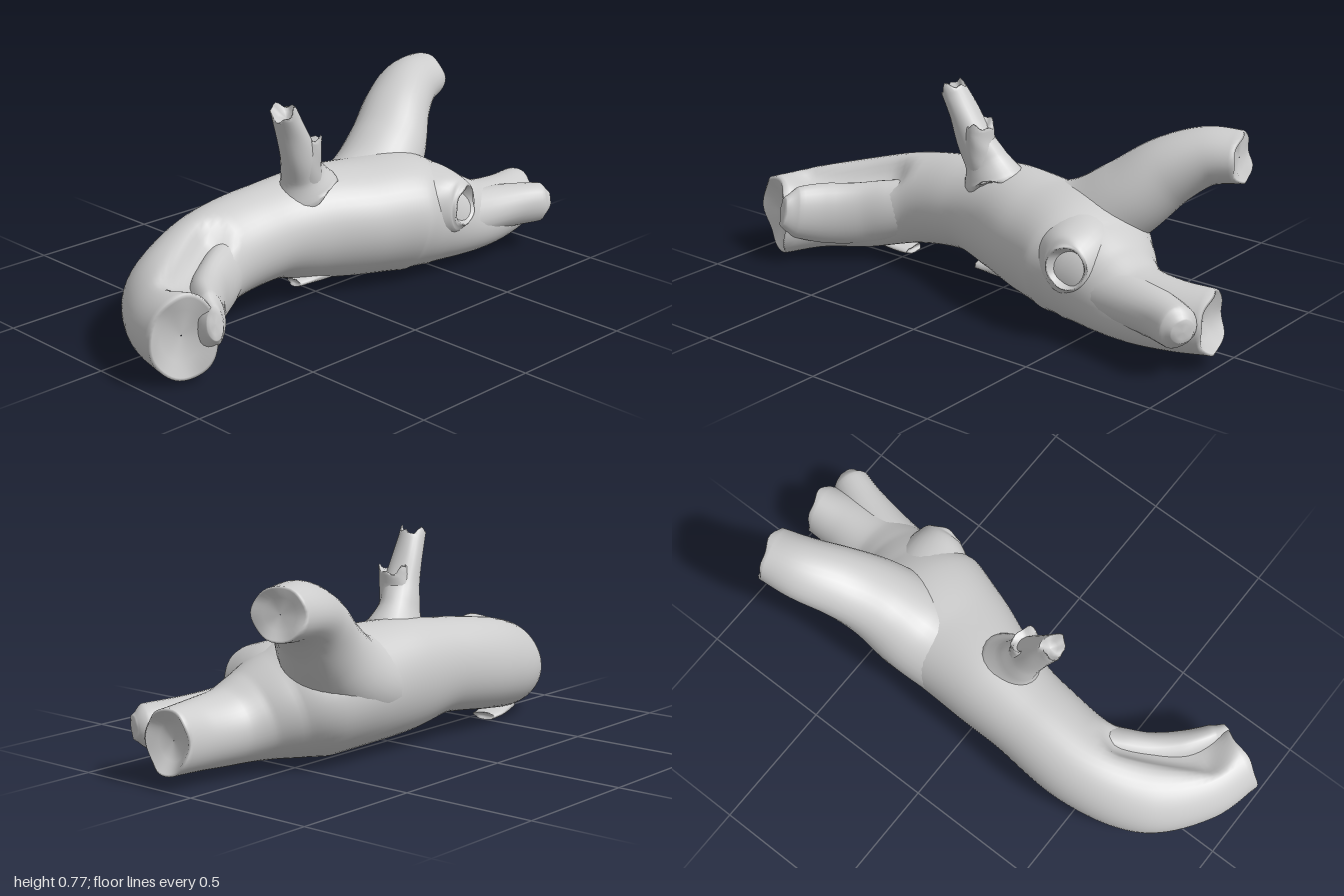
import * as THREE from 'three';

const V = (x, y, z) => new THREE.Vector3(x, y, z);
const wood = new THREE.MeshStandardMaterial({ color: 0xcccccc });
wood.name = 'pale wood';

// Press hollows into a point: each dent is a segment a-b with a reach and a push.
function press(p, dents) {
  const near = new THREE.Vector3();
  for (const { a, b, reach, push } of dents) {
    new THREE.Line3(a, b).closestPointToPoint(p, true, near);
    const t = near.distanceTo(p) / reach;
    if (t < 1) p.addScaledVector(push, (1 - t * t) ** 2);
  }
}

// Limb swept through sections [x, y, z, half height, half width].
// dish = how far each end is hollowed, jag = raggedness of the broken rim.
function limb(name, sections, { ref = V(0, 1, 0), rings = 24, sides = 24, dishA = 0, dishB = 0.02, jag = 0.008, dents = [] } = {}) {
  const path = new THREE.CatmullRomCurve3(sections.map(s => V(s[0], s[1], s[2])));
  const radii = new THREE.CatmullRomCurve3(sections.map(s => V(s[3], s[4], 0)));
  const pos = [], idx = [];

  const ring = (t, scale, along, rag) => {
    const c = path.getPoint(t), tan = path.getTangent(t), r = radii.getPoint(t);
    const side = new THREE.Vector3().crossVectors(tan, ref).normalize();
    const up = new THREE.Vector3().crossVectors(side, tan);
    for (let j = 0; j < sides; j++) {
      const a = j / sides * Math.PI * 2;
      const lump = 1 + 0.02 * Math.sin(3 * a + 9 * t);
      const p = c.clone()
        .addScaledVector(up, Math.cos(a) * r.x * scale * lump)
        .addScaledVector(side, Math.sin(a) * r.y * scale * lump)
        .addScaledVector(tan, along + rag * (Math.sin(2 * a + 1) + 0.6 * Math.sin(5 * a)));
      press(p, dents);
      pos.push(p.x, p.y, p.z);
    }
  };

  // Hollow start, body, hollow end
  ring(0, 0.01, dishA, 0);
  ring(0, 0.6, dishA * 0.8, 0);
  ring(0, 0.92, -0.004, jag);
  for (let i = 0; i <= rings; i++) ring(i / rings, 1, 0, i === 0 || i === rings ? jag : 0);
  ring(1, 0.92, 0.004, jag);
  ring(1, 0.6, -dishB * 0.8, 0);
  ring(1, 0.01, -dishB, 0);

  const rows = pos.length / 3 / sides;
  for (let i = 0; i < rows - 1; i++) {
    for (let j = 0; j < sides; j++) {
      const a = i * sides + j, b = i * sides + (j + 1) % sides;
      idx.push(a, a + sides, b, b, a + sides, b + sides);
    }
  }
  const geo = new THREE.BufferGeometry();
  geo.setAttribute('position', new THREE.Float32BufferAttribute(pos, 3));
  geo.setIndex(idx);
  // Make sure the faces look outward
  let volume = 0;
  const [a, b, c] = [V(), V(), V()];
  for (let i = 0; i < idx.length; i += 3) {
    a.fromArray(pos, idx[i] * 3); b.fromArray(pos, idx[i + 1] * 3); c.fromArray(pos, idx[i + 2] * 3);
    volume += a.dot(b.cross(c));
  }
  if (volume < 0) geo.setIndex(idx.slice().reverse());
  geo.computeVertexNormals();
  const mesh = new THREE.Mesh(geo, wood);
  mesh.name = name;
  return mesh;
}

export function createModel() {
  const log = new THREE.Group();
  log.name = 'fallenLog';

  // Curved trunk running into the front fork, with a groove and room for the knot hole
  const knot = V(0.49, 0.285, 0.28);
  log.add(limb('trunk', [
    [-0.88, 0.172, 0.29, 0.153, 0.12],
    [-0.81, 0.175, 0.13, 0.157, 0.145],
    [-0.66, 0.188, 0.0, 0.17, 0.18],
    [-0.46, 0.23, -0.075, 0.175, 0.168],
    [-0.2, 0.265, -0.07, 0.178, 0.168],
    [0, 0.26, -0.045, 0.208, 0.19],
    [0.2, 0.248, 0.0, 0.218, 0.228],
    [0.38, 0.24, 0.035, 0.225, 0.255],
    [0.5, 0.21, 0.08, 0.195, 0.215],
    [0.6, 0.182, 0.115, 0.16, 0.172],
    [0.7, 0.163, 0.135, 0.135, 0.145],
    [0.85, 0.16, 0.14, 0.122, 0.118],
    [0.985, 0.165, 0.122, 0.115, 0.094],
  ], {
    rings: 90, sides: 48, dishA: 0.03, dishB: 0.035,
    dents: [
      { a: V(-0.8, 0.33, 0.2), b: V(-0.52, 0.36, 0.04), reach: 0.1, push: V(-0.01, -0.04, -0.03) },
      { a: knot, b: knot, reach: 0.13, push: V(0, -0.02, -0.1) },
    ],
  }));

  // Swollen burl ending in the knot hole
  log.add(limb('knotBurl', [
    [0.38, 0.25, 0.05, 0.185, 0.2],
    [0.44, 0.275, 0.14, 0.16, 0.17],
    [0.475, 0.285, 0.215, 0.13, 0.125],
    [0.495, 0.287, 0.265, 0.1, 0.09],
    [0.5, 0.288, 0.285, 0.078, 0.075],
  ], { rings: 24, sides: 32, dishB: 0.055, jag: 0.005 }));

  // Raised back branch, flared into the trunk
  log.add(limb('backBranch', [
    [0.16, 0.25, -0.035, 0.18, 0.18],
    [0.34, 0.318, -0.065, 0.162, 0.175],
    [0.48, 0.43, -0.105, 0.143, 0.152],
    [0.6, 0.54, -0.165, 0.124, 0.13],
    [0.72, 0.602, -0.222, 0.104, 0.117],
    [0.845, 0.615, -0.255, 0.091, 0.102],
  ], { rings: 36, sides: 32, dishB: 0.012 }));

  // Split ridges lying along the two ends
  log.add(limb('rightRidge', [
    [0.5, 0.2, 0.17, 0.1, 0.1],
    [0.7, 0.195, 0.2, 0.09, 0.088],
    [0.85, 0.193, 0.235, 0.083, 0.078],
    [0.945, 0.19, 0.272, 0.076, 0.072],
    [0.975, 0.188, 0.288, 0.045, 0.045],
  ], { dishB: -0.008, jag: 0.002 }));
  log.add(limb('leftRidge', [
    [-0.42, 0.23, 0.0, 0.1, 0.07],
    [-0.52, 0.205, 0.05, 0.115, 0.075],
    [-0.61, 0.19, 0.105, 0.12, 0.07],
    [-0.7, 0.19, 0.19, 0.12, 0.066],
    [-0.77, 0.205, 0.295, 0.1, 0.052],
    [-0.79, 0.215, 0.342, 0.06, 0.03],
  ], { rings: 30, sides: 28, dishB: -0.006, jag: 0.002 }));

  // Broken twig and its side stub, flared where they leave the trunk
  log.add(limb('twig', [
    [-0.045, 0.41, 0.0, 0.1, 0.13],
    [-0.075, 0.485, 0.008, 0.072, 0.085],
    [-0.11, 0.56, 0.025, 0.066, 0.068],
    [-0.155, 0.66, 0.035, 0.058, 0.053],
    [-0.197, 0.745, 0.045, 0.05, 0.044],
  ], { ref: V(0, 0, 1), dishB: 0.03, jag: 0.016 }));
  log.add(limb('twigStub', [
    [-0.07, 0.46, 0.015, 0.065, 0.065],
    [-0.083, 0.55, 0.032, 0.062, 0.054],
    [-0.075, 0.625, 0.038, 0.058, 0.04],
  ], { ref: V(0, 0, 1), rings: 12, dishB: 0.02, jag: 0.012 }));

  // Small snapped stubs underneath
  log.add(limb('leftUnderStub', [
    [-0.63, 0.045, -0.05, 0.03, 0.06],
    [-0.56, 0.024, -0.06, 0.02, 0.058],
    [-0.5, 0.017, -0.065, 0.015, 0.05],
  ], { rings: 8, sides: 14, dishB: 0.005, jag: 0.004 }));
  log.add(limb('middleUnderStub', [
    [0.04, 0.085, 0.0, 0.035, 0.06],
    [-0.04, 0.075, 0.0, 0.022, 0.05],
    [-0.11, 0.07, 0.0, 0.015, 0.035],
  ], { rings: 8, sides: 14, dishB: 0.005, jag: 0.004 }));

  return log;
}
